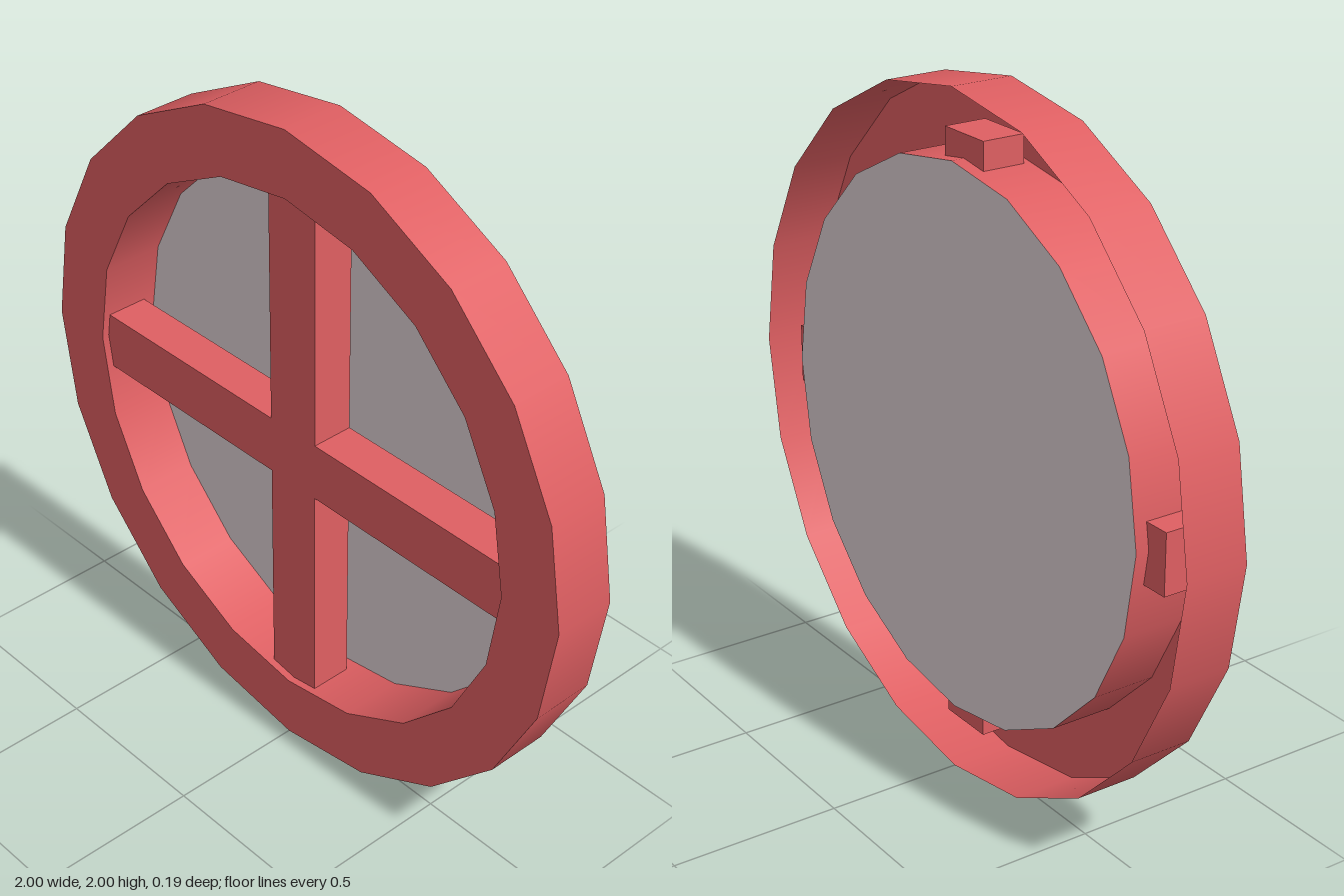
import * as THREE from 'three';

const SIDES = 20;
const OUTER = 1;
const INNER = 0.804;
const HALF_DEPTH = 0.094;

export function createModel() {
  const model = new THREE.Group();
  model.name = 'roundWindow';

  const frameRed = new THREE.MeshStandardMaterial({ color: 0xdf5f62, side: THREE.DoubleSide });
  frameRed.name = 'frame red';
  const paneGrey = new THREE.MeshStandardMaterial({ color: 0xded1d3, side: THREE.DoubleSide });
  paneGrey.name = 'pane grey';

  const add = (name, geometry, material, z = 0) => {
    const mesh = new THREE.Mesh(geometry, material);
    mesh.name = name;
    mesh.position.set(0, 1, z);
    model.add(mesh);
    return mesh;
  };

  // Thin smooth walls of the frame, open at the back
  const wall = (radius) =>
    new THREE.CylinderGeometry(radius, radius, HALF_DEPTH * 2, SIDES, 1, true)
      .rotateX(Math.PI / 2)
      .rotateZ(Math.PI / 2);
  add('outerWall', wall(OUTER), frameRed);
  add('innerWall', wall(INNER), frameRed);

  // Flat front face joining the two walls
  add('frontFace', new THREE.RingGeometry(INNER, OUTER, SIDES), frameRed, HALF_DEPTH);

  // Pane closing the inner wall at the back
  add('pane', new THREE.CircleGeometry(INNER, SIDES), paneGrey, -HALF_DEPTH);

  // Cross bars whose ends poke through the inner wall
  const w = 0.088, end = 0.87, drop = -0.013;
  const cross = new THREE.Shape([
    [w, -end], [w, drop - w], [end, drop - w], [end, drop + w],
    [w, drop + w], [w, end], [-w, end], [-w, drop + w],
    [-end, drop + w], [-end, drop - w], [-w, drop - w], [-w, -end],
  ].map(([x, y]) => new THREE.Vector2(x, y)));
  add('crossBars', new THREE.ExtrudeGeometry(cross, { depth: 0.127, bevelEnabled: false }), frameRed, -0.055);

  return model;
}
